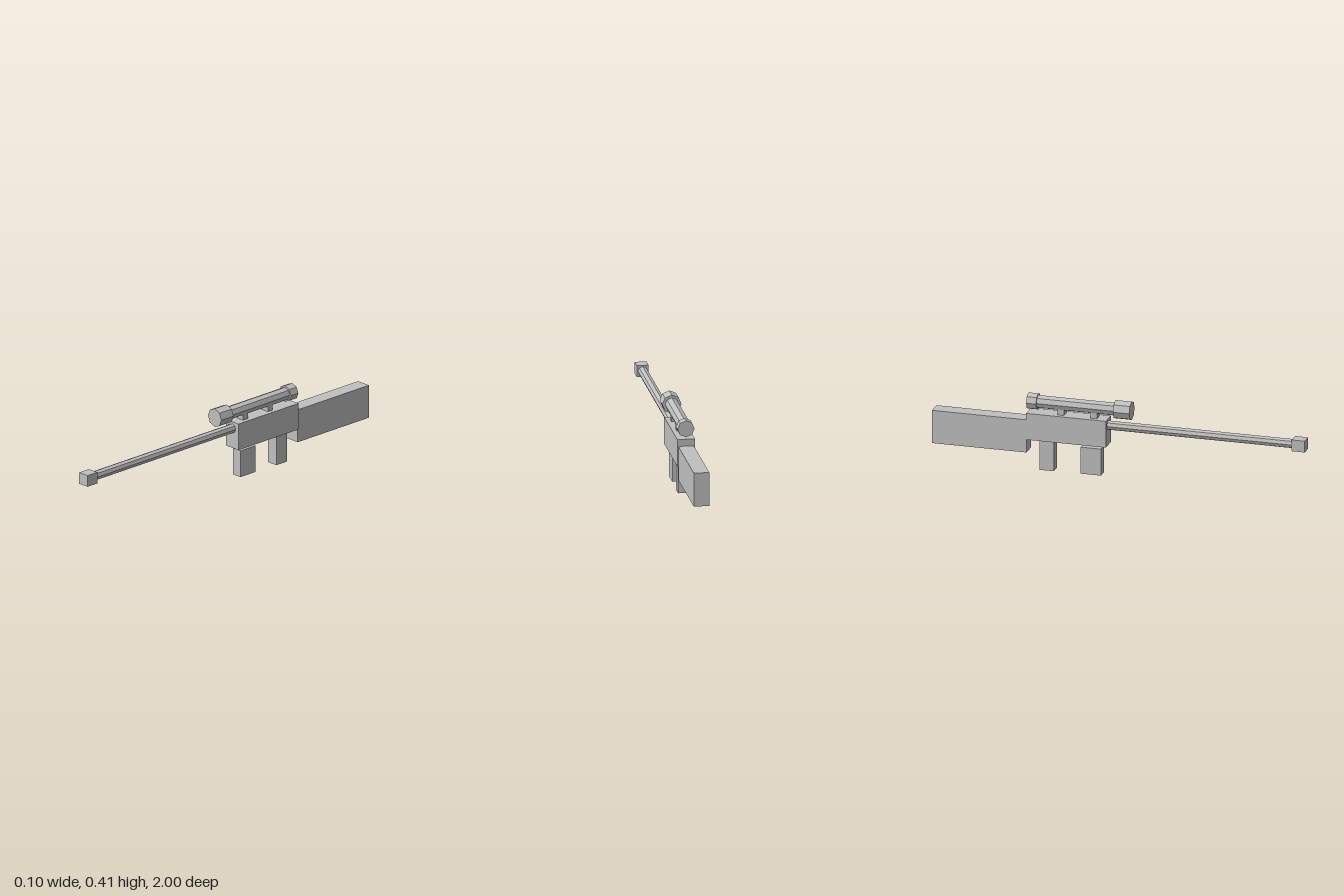
import * as THREE from 'three';

export function createModel() {
  const model = new THREE.Group();
  const grey = new THREE.MeshStandardMaterial({ color: 0xc0c0c0 });
  grey.name = 'light grey';
  grey.flatShading = true;

  function add(name, geometry, y, z) {
    const mesh = new THREE.Mesh(geometry, grey);
    mesh.name = name;
    mesh.position.set(0, y, z);
    model.add(mesh);
  }

  // Block given by its width and its y and z ranges
  function block(name, width, y0, y1, z0, z1) {
    add(name, new THREE.BoxGeometry(width, y1 - y0, z1 - z0), (y0 + y1) / 2, (z0 + z1) / 2);
  }

  // Eight-sided rod lying along z, with a corner at the top
  function rod(name, radius, y, z0, z1) {
    const geometry = new THREE.CylinderGeometry(radius, radius, z1 - z0, 8).rotateX(Math.PI / 2);
    add(name, geometry, y, (z0 + z1) / 2);
  }

  // Body, stock and lower parts
  block('receiver', 0.092, 0.163, 0.307, -0.492, -0.064);
  block('stock', 0.081, 0.091, 0.27, -1, -0.492);
  block('magazine', 0.053, 0, 0.145, -0.205, -0.096);
  block('grip', 0.062, 0, 0.163, -0.425, -0.348);

  // Barrel
  rod('barrel', 0.025, 0.271, -0.07, 0.935);
  block('muzzle', 0.062, 0.24, 0.302, 0.93, 1);

  // Scope with its two mounts
  const scopeY = 0.362;
  rod('scopeTube', 0.035, scopeY, -0.445, -0.02);
  rod('scopeFront', 0.05, scopeY, -0.025, 0.062);
  rod('scopeRear', 0.044, scopeY, -0.493, -0.44);
  for (const z of [-0.136, -0.313]) block('scopeMount', 0.046, 0.305, 0.34, z - 0.017, z + 0.017);

  return model;
}
